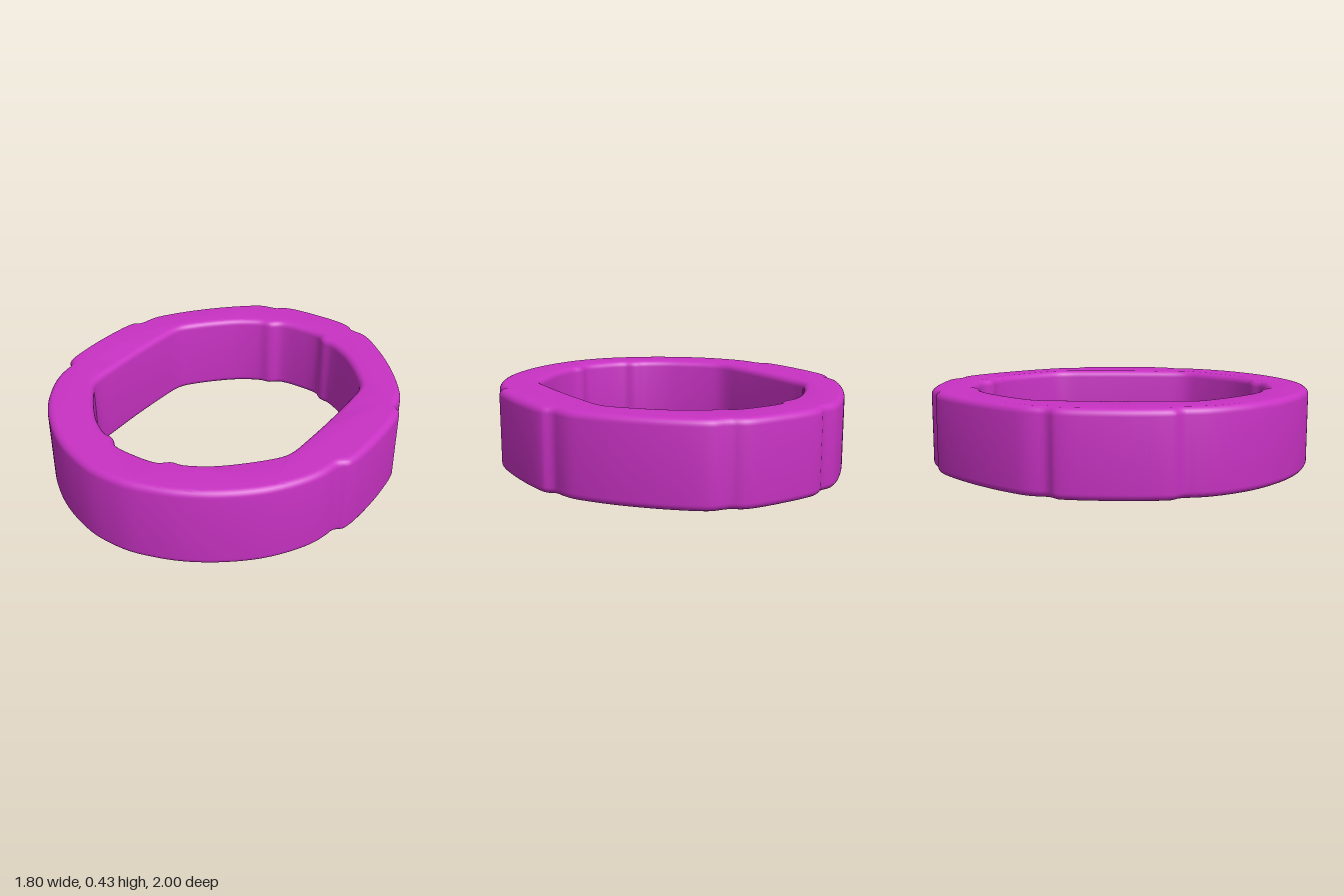
import * as THREE from 'three';
import { toCreasedNormals } from 'three/addons/utils/BufferGeometryUtils.js';

const HEIGHT = 0.425, BEVEL = 0.035;

// right half of the outer outline as [x, z], from back centre to front centre
const OUTER = [
  [0, -1], [0.1, -0.998], [0.19, -0.987], [0.235, -0.968], [0.262, -0.945], [0.3, -0.936],
  [0.35, -0.927], [0.41, -0.89], [0.55, -0.765], [0.68, -0.62], [0.77, -0.495], [0.815, -0.415],
  [0.831, -0.35], [0.836, -0.315], [0.85, -0.296], [0.872, -0.278], [0.886, -0.23], [0.896, -0.13],
  [0.9, 0], [0.896, 0.13], [0.886, 0.23], [0.872, 0.278], [0.85, 0.296], [0.836, 0.315],
  [0.831, 0.35], [0.812, 0.43], [0.76, 0.54], [0.66, 0.68], [0.51, 0.815], [0.35, 0.913],
  [0.2, 0.97], [0.1, 0.994], [0, 1],
];

// back right quarter of the opening, mirrored to all four
const INNER = [
  [0, -0.78], [0.09, -0.776], [0.135, -0.764], [0.158, -0.742], [0.185, -0.724], [0.23, -0.718],
  [0.275, -0.698], [0.36, -0.643], [0.46, -0.55], [0.54, -0.46], [0.587, -0.394], [0.603, -0.34],
  [0.611, -0.2], [0.615, 0],
];

// mirror a list of points whose ends lie on the mirror axis
const mirror = (pts, sx, sz, dropEnd) => {
  const back = pts.slice(dropEnd ? 1 : 0, -1).reverse();
  return [...pts, ...back.map(([x, z]) => [x * sx, z * sz])];
};

// smooth closed outline through the points
function outline(pts, count) {
  const curve = new THREE.CatmullRomCurve3(
    pts.map(([x, z]) => new THREE.Vector3(x, z, 0)), true, 'centripetal');
  return curve.getSpacedPoints(count).slice(0, count).map(p => new THREE.Vector2(p.x, p.y));
}

export function createModel() {
  const group = new THREE.Group();
  group.name = 'ring';

  // closed band with raised pads and a notched opening
  const shape = new THREE.Shape(outline(mirror(OUTER, -1, 1, true), 280));
  const innerHalf = mirror(INNER, 1, -1, false);
  shape.holes.push(new THREE.Path(outline(mirror(innerHalf, -1, 1, true), 240)));

  // rounded top and bottom rims
  const extruded = new THREE.ExtrudeGeometry(shape, {
    depth: HEIGHT - 2 * BEVEL,
    bevelEnabled: true,
    bevelSize: BEVEL,
    bevelThickness: BEVEL,
    bevelOffset: -BEVEL,
    bevelSegments: 6,
  });
  extruded.rotateX(Math.PI / 2);
  extruded.translate(0, HEIGHT - BEVEL, 0);

  const band = new THREE.Mesh(
    toCreasedNormals(extruded, 0.5),
    new THREE.MeshStandardMaterial({ color: 0xc832c3 }));
  band.name = 'band';
  group.add(band);
  return group;
}
